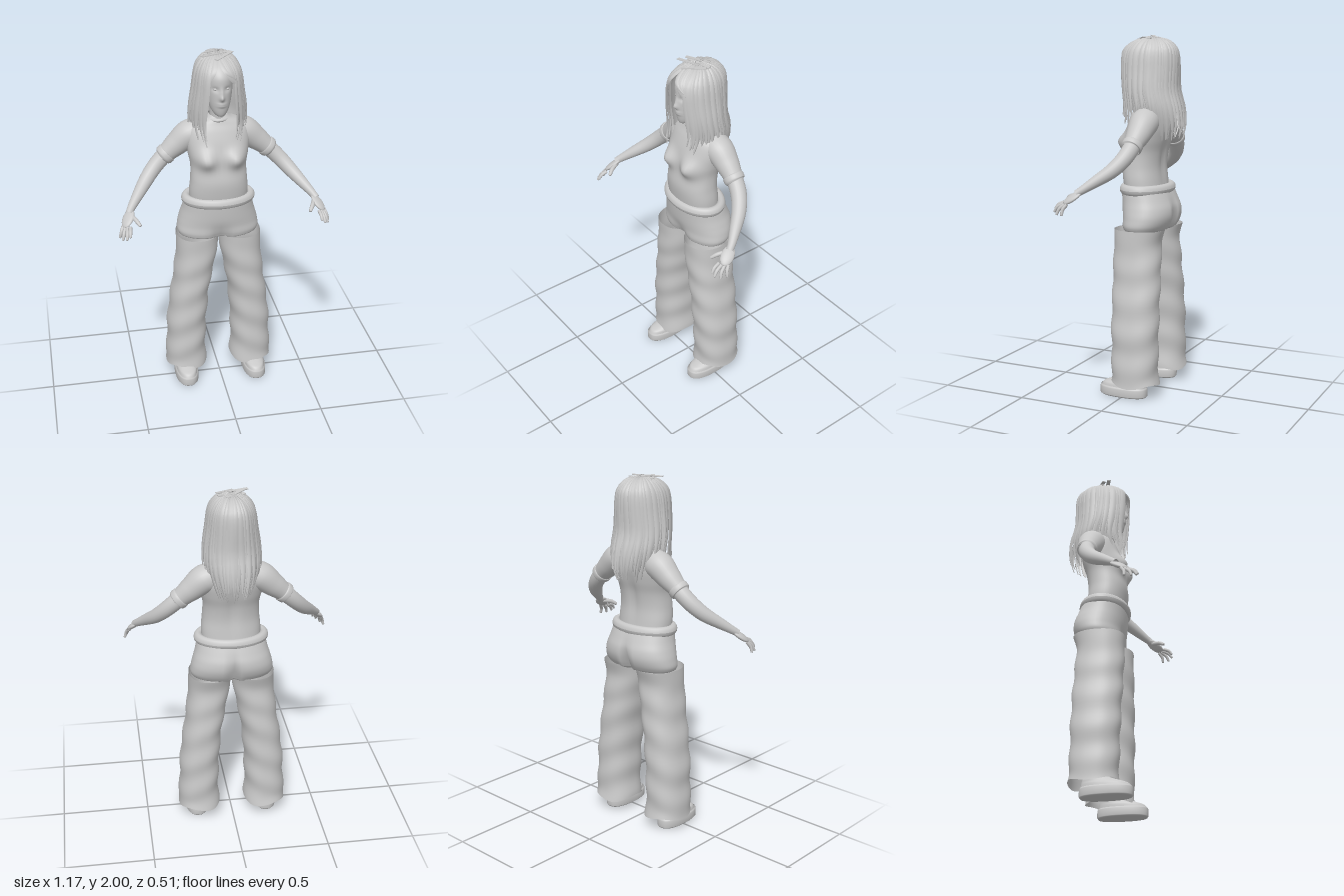
import * as THREE from 'three';
import { mergeGeometries } from 'three/addons/utils/BufferGeometryUtils.js';

const clay = new THREE.MeshStandardMaterial({ color: 0xc8c8c8, side: THREE.DoubleSide });
clay.name = 'light grey clay';

let seed = 7;
const rand = (a = 0, b = 1) => {
  seed = (seed * 16807) % 2147483647;
  return a + (b - a) * (seed / 2147483647);
};
const V = (x, y, z) => new THREE.Vector3(x, y, z);
const gauss = (d, w) => Math.exp(-(d * d) / (w * w));

// Grid surface: fn(u, v) gives a point; "closed" joins the u ends
function surface(nu, nv, fn, closed = true) {
  const pos = [], idx = [], cols = closed ? nu : nu + 1;
  for (let j = 0; j <= nv; j++)
    for (let i = 0; i < cols; i++) pos.push(...fn(i / nu, j / nv).toArray());
  for (let j = 0; j < nv; j++)
    for (let i = 0; i < nu; i++) {
      const a = j * cols + i, b = j * cols + ((i + 1) % cols), c = a + cols, d = b + cols;
      idx.push(a, b, c, b, d, c);
    }
  const g = new THREE.BufferGeometry();
  g.setAttribute('position', new THREE.Float32BufferAttribute(pos, 3));
  g.setIndex(idx);
  g.computeVertexNormals();
  return g;
}

// Interpolate a table of rows at s (in row numbers)
function rowAt(rows, s, smooth = true) {
  const n = rows.length - 1, i = Math.min(Math.floor(s), n - 1), t = s - i;
  const at = k => rows[Math.max(0, Math.min(n, k))];
  return at(i).map((p1, k) => {
    const p2 = at(i + 1)[k];
    if (!smooth) return p1 + (p2 - p1) * t;
    const m1 = (p2 - at(i - 1)[k]) / 2, m2 = (at(i + 2)[k] - p1) / 2;
    const t2 = t * t, t3 = t2 * t;
    return (2 * t3 - 3 * t2 + 1) * p1 + (t3 - 2 * t2 + t) * m1 + (3 * t2 - 2 * t3) * p2 + (t3 - t2) * m2;
  });
}

// Point on a horizontal section [y, centre x, half width, front z, back z]
function sectionPoint([y, cx, rx, zf, zb], a, power = 1) {
  const sp = v => Math.sign(v) * Math.pow(Math.abs(v), power);
  const zc = (zf + zb) / 2;
  return V(cx + rx * sp(Math.sin(a)), y, zc + (zf - zc) * sp(Math.cos(a)));
}

function loft(rows, { power = 1, smooth = true, nu = 48, steps = 6, shape = null } = {}) {
  const n = rows.length - 1;
  return surface(nu, n * steps, (u, v) => {
    const a = u * Math.PI * 2;
    const p = sectionPoint(rowAt(rows, v * n, smooth), a, power);
    if (shape) shape(p, a);
    return p;
  });
}

// Round limb through points [x, y, z, radius]
function limb(pts, nu = 20, nv = 24) {
  const curve = new THREE.CatmullRomCurve3(pts.map(p => V(p[0], p[1], p[2])));
  const f = curve.computeFrenetFrames(nv);
  return surface(nu, nv, (u, v) => {
    const a = u * Math.PI * 2, k = Math.round(v * nv);
    const r = rowAt(pts, v * (pts.length - 1))[3];
    return curve.getPoint(v).addScaledVector(f.normals[k], r * Math.cos(a)).addScaledVector(f.binormals[k], r * Math.sin(a));
  });
}

function add(parent, name, geometry) {
  const m = new THREE.Mesh(geometry, clay);
  m.name = name;
  parent.add(m);
  return m;
}

// Elliptical roll lying flat
function roll(rx, rz, r, tall = 1) {
  return surface(64, 14, (u, v) => {
    const a = u * Math.PI * 2, b = v * Math.PI * 2;
    return V((rx + r * Math.cos(b)) * Math.sin(a), tall * r * Math.sin(b), (rz + r * Math.cos(b)) * Math.cos(a));
  });
}

function addBody(g) {
  add(g, 'shirt', loft([
    [1.1, 0, .16, .06, -.15], [1.2, 0, .165, .078, -.14], [1.28, 0, .158, .084, -.135], [1.36, 0, .155, .07, -.145],
    [1.43, 0, .168, .062, -.165], [1.5, 0, .178, .05, -.178], [1.56, 0, .17, .03, -.172], [1.6, 0, .13, .012, -.15],
    [1.625, 0, .075, .002, -.12], [1.645, 0, .05, -.01, -.11]], {
    power: .88,
    shape(p, a) {
      const c = Math.cos(a);
      if (c > 0) p.z += .048 * Math.min(1, c * 2) * gauss(Math.abs(p.x) - .085, .052) * gauss(p.y - 1.415, .052);
      else p.z += .014 * gauss(p.x, .03) * gauss(p.y - 1.36, .15); // spine hollow
    } }));
  add(g, 'collar', roll(.056, .056, .01)).position.set(0, 1.622, -.055);
  add(g, 'neck', loft([[1.58, 0, .05, -.005, -.11], [1.65, 0, .045, .0, -.1], [1.75, 0, .048, .01, -.1]]));
  add(g, 'waistband', roll(.183, .118, .025, 1.15)).position.set(0, 1.155, -.043);
  add(g, 'hips', loft([
    [.915, 0, 0, -.05, -.06], [.925, 0, .19, .045, -.16], [.95, 0, .23, .065, -.19], [1, 0, .228, .068, -.212],
    [1.05, 0, .215, .075, -.213], [1.1, 0, .2, .08, -.195], [1.17, 0, .186, .085, -.165]], {
    power: .9,
    shape(p, a) {
      if (Math.cos(a) < 0) p.z += .04 * gauss(p.x, .02) * gauss(p.y - .98, .09); // cleft
      else p.z -= .03 * gauss(p.x, .05) * gauss(p.y - .93, .06);
    } }));
}

function addHead(g) {
  add(g, 'head', loft([
    [1.66, 0, 0, .04, .03], [1.667, 0, .024, .056, -.01], [1.69, 0, .044, .066, -.05], [1.73, 0, .06, .073, -.1],
    [1.78, 0, .071, .076, -.14], [1.83, 0, .077, .075, -.16], [1.88, 0, .079, .072, -.165], [1.92, 0, .07, .045, -.15],
    [1.945, 0, .045, .005, -.12], [1.955, 0, 0, -.04, -.06]], {
    nu: 72, steps: 8,
    shape(p, a) {
      if (Math.cos(a) < 0) return;
      const x = Math.abs(p.x);
      p.z += .018 * gauss(x, .012) * gauss(p.y - 1.774, .016) + .009 * gauss(x, .01) * gauss(p.y - 1.8, .025); // nose
      p.z -= .009 * gauss(x - .031, .018) * gauss(p.y - 1.82, .013);                                        // eye sockets
      p.z += .007 * gauss(x, .022) * (gauss(p.y - 1.741, .006) + gauss(p.y - 1.728, .006));                 // lips
    } }));
  for (const s of [-1, 1]) {
    const eye = add(g, 'eye', new THREE.SphereGeometry(.012, 16, 12));
    eye.scale.y = .7;
    eye.position.set(s * .031, 1.82, .05);
  }
}

// Hair outline, from the tips up to the crown
const hairRows = [[1.42, 0, .07, .08, -.215], [1.5, 0, .105, .1, -.24], [1.6, 0, .135, .08, -.235], [1.7, 0, .138, .088, -.21],
  [1.8, 0, .126, .1, -.212], [1.88, 0, .117, .1, -.212], [1.93, 0, .1, .078, -.198], [1.965, 0, .062, .015, -.15], [1.978, 0, 0, -.06, -.07]];

function hairPoint(a, s, off) {
  const p = sectionPoint(rowAt(hairRows, s), a);
  return p.add(V(Math.sin(a) * off, s > 6 ? off * (s - 6) * .5 : 0, Math.cos(a) * off));
}

// Flat strand that follows the hair outline down from the crown
function strand(a0, a1, end, half, off, flare) {
  return surface(3, 18, (u, v) => {
    const w = half * (v > .7 ? 1 - (v - .7) * 2.6 : 1);
    const a = a0 + (a1 - a0) * v * v + (u - .5) * 2 * w;
    return hairPoint(a, 7.9 + (end - 7.9) * v, off + flare * v * v + .005 * Math.sin(u * Math.PI));
  }, false);
}

function addHair(g) {
  add(g, 'hairUnderlayer', surface(48, 36, (u, v) => hairPoint(.8 + u * (2 * Math.PI - 1.6), 1.9 + 6.1 * v, -.006), false));
  const locks = [], fringe = [];
  for (let layer = 0; layer < 2; layer++)
    for (let i = 0; i < 46; i++) {
      const a = .62 + (i + rand()) / 46 * (2 * Math.PI - 1.24);
      const b = Math.min(a, 2 * Math.PI - a); // angle away from the face
      const end = b < 1 ? rand(1, 1.7) : b < 1.9 ? rand(1.2, 2.1) : rand(.1, 1.1);
      locks.push(strand(a, a + rand(-.08, .08), end, rand(.07, .14), rand(0, .009), rand(-.004, .018)));
    }
  for (let i = 0; i < 16; i++) {
    const a = -.75 + 1.5 * i / 15, side = a < -.2 ? -1 : 1;
    fringe.push(strand(a, side * rand(.66, .85), rand(3.4, 4.6), .14, rand(.002, .009), 0));
  }
  add(g, 'hairLocks', mergeGeometries(locks));
  add(g, 'fringe', mergeGeometries(fringe));
  // Loose strands across the crown
  for (let i = 0; i < 6; i++) {
    const tuft = add(g, 'crownTuft', new THREE.BoxGeometry(.13, .004, .022));
    tuft.position.set(rand(-.035, .035), 1.972 + i * .003, -.05 + rand(-.05, .04));
    tuft.rotation.set(rand(-.15, .15), .5 + rand(-.3, .3), rand(-.12, .12));
  }
}

// Left arm, leg and shoe
function addSide(g) {
  add(g, 'sleeve', limb([[.1, 1.54, -.085, .075], [.155, 1.52, -.088, .078], [.225, 1.465, -.088, .065], [.292, 1.408, -.083, .05]], 28));
  add(g, 'sleeveCuff', limb([[.272, 1.425, -.084, .05], [.277, 1.421, -.084, .057], [.297, 1.404, -.082, .056], [.303, 1.399, -.082, .048]], 28, 12));
  add(g, 'arm', limb([[.26, 1.435, -.085, .045], [.31, 1.39, -.08, .045], [.36, 1.34, -.06, .043], [.41, 1.287, -.018, .039],
    [.46, 1.238, .045, .031], [.505, 1.193, .105, .022], [.52, 1.175, .13, .02]]));

  // Palm is a flattened ball lying along the hand
  const along = V(.04, -.06, .08).normalize(), across = V(.65, -.1, -.75);
  across.addScaledVector(along, -across.dot(along)).normalize();
  const palm = new THREE.SphereGeometry(1, 20, 14).scale(.036, .058, .015);
  palm.applyMatrix4(new THREE.Matrix4().makeBasis(across, along, along.clone().cross(across).negate()).setPosition(.527, 1.155, .148));
  add(g, 'palm', palm);
  const digits = [
    [V(.521, 1.128, .2), V(.528, 1.09, .252)], [V(.536, 1.122, .194), V(.546, 1.075, .25)],
    [V(.547, 1.12, .182), V(.567, 1.063, .225)], [V(.557, 1.122, .166), V(.579, 1.062, .188)], [V(.508, 1.165, .135), V(.466, 1.135, .215)]];
  digits.forEach(([a, b], i) => {
    const r = i === 4 ? .012 : .0095, m = a.clone().lerp(b, .55).add(V(0, .006, .006)), q = a.clone().lerp(b, .96);
    add(g, i === 4 ? 'thumb' : 'finger', limb([[...a, r], [...m, r], [...q, r * .7], [...b, 0]], 10, 14));
  });

  add(g, 'trouserLeg', loft([
    [.08, .197, .122, .075, -.192], [.14, .196, .116, .074, -.186], [.25, .193, .113, .075, -.184], [.4, .186, .112, .08, -.184],
    [.6, .163, .108, .085, -.182], [.75, .139, .112, .09, -.178], [.86, .125, .117, .09, -.172], [.94, .121, .119, .092, -.192]], {
    power: .88, steps: 8,
    shape(p, a) { // soft cloth folds
      const fold = .004 * Math.sin(p.y * 34 + 2 * Math.sin(a)) * Math.min(1, (.95 - p.y) * 4);
      p.x += Math.sin(a) * fold;
      p.z += Math.cos(a) * fold;
      p.y += .01 * Math.sin(3 * a) * gauss(p.y - .08, .05);
    } }));

  add(g, 'shoeSole', loft([[0, .205, 0, .01, .01], [0, .205, .06, .143, -.125], [.008, .205, .067, .15, -.131],
    [.046, .205, .067, .15, -.131], [.056, .205, .06, .145, -.125]], { power: .82, smooth: false, steps: 2 }));
  add(g, 'shoeUpper', loft([[.05, .205, .061, .144, -.125], [.07, .204, .058, .13, -.122], [.082, .203, .053, .1, -.12],
    [.095, .202, .049, .06, -.116], [.11, .2, .045, .03, -.11], [.16, .198, .04, .01, -.1], [.22, .196, .042, .01, -.1]], { power: .88 }));
}

export function createModel() {
  const model = new THREE.Group();
  model.name = 'standingFigure';
  addBody(model);
  addHead(model);
  addHair(model);
  for (const s of [1, -1]) {
    const side = new THREE.Group();
    side.name = s > 0 ? 'leftLimbs' : 'rightLimbs';
    addSide(side);
    side.scale.x = s;
    model.add(side);
  }
  return model;
}
